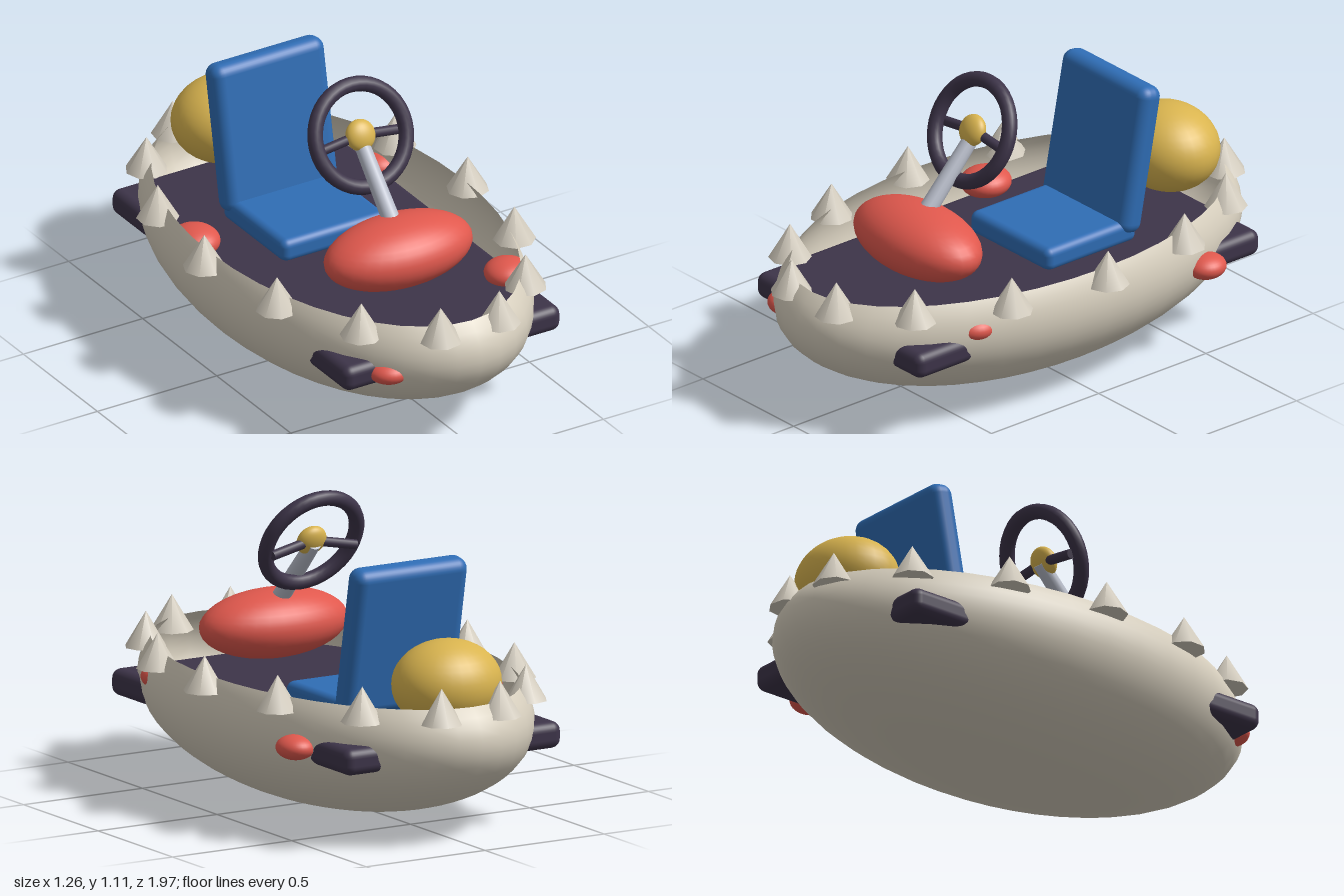
import * as THREE from 'three';
import { RoundedBoxGeometry } from 'three/addons/geometries/RoundedBoxGeometry.js';

const mat = (name, color, extra = {}) => {
  const m = new THREE.MeshStandardMaterial({ color, ...extra });
  m.name = name;
  return m;
};

export function createModel() {
  const root = new THREE.Group();
  root.name = 'bowlKart';
  const shell = mat('shell beige', 0xd6cebd, { side: THREE.DoubleSide });
  const bone = mat('spike beige', 0xd3ccbe);
  const dark = mat('dark purple', 0x3d3449);
  const blue = mat('seat blue', 0x2f6db5);
  const red = mat('red', 0xe0584d);
  const yellow = mat('yellow', 0xd9b44f);
  const metal = mat('light metal', 0xb8bdca);

  const add = (name, geometry, material, pos = [0, 0, 0], parent = root) => {
    const mesh = new THREE.Mesh(geometry, material);
    mesh.name = name;
    mesh.position.set(...pos);
    parent.add(mesh);
    return mesh;
  };
  const ellipsoid = (name, radii, pos, material) =>
    add(name, new THREE.SphereGeometry(1, 32, 20).scale(...radii), material, pos);
  // Cylinder running between two points
  const rod = (name, a, b, ra, rb, material) => {
    const from = new THREE.Vector3(...a), to = new THREE.Vector3(...b);
    const dir = to.clone().sub(from);
    const mesh = add(name, new THREE.CylinderGeometry(rb, ra, dir.length(), 16), material);
    mesh.position.copy(from).add(to).multiplyScalar(0.5);
    mesh.quaternion.setFromUnitVectors(new THREE.Vector3(0, 1, 0), dir.normalize());
    return mesh;
  };

  // Open bowl hull, cut off just above its widest line
  const cut = Math.acos(0.365);
  add('hull', new THREE.SphereGeometry(1, 40, 20, 0, Math.PI * 2, cut, Math.PI - cut)
    .scale(0.565, 0.372, 0.985), shell, [0, 0.38, 0]);

  // Floor slab, its corners poking through the hull
  add('floor', new RoundedBoxGeometry(0.91, 0.098, 1.6, 4, 0.035), dark, [0, 0.337, 0]);

  // Ring of spikes along the rim
  const spikes = new THREE.Group();
  spikes.name = 'rimSpikes';
  root.add(spikes);
  const spikeGeo = new THREE.ConeGeometry(0.078, 0.13, 8);
  for (let i = 0; i < 14; i++) {
    const a = (i / 14) * Math.PI * 2;
    const spike = add('spike', spikeGeo, bone,
      [0.552 * Math.cos(a), 0.53, 0.928 * Math.sin(a)], spikes);
    spike.rotation.y = -a;
  }

  // Seat
  add('seatCushion', new RoundedBoxGeometry(0.44, 0.09, 0.42, 4, 0.03), blue, [0, 0.42, -0.21]);
  const back = add('seatBack', new RoundedBoxGeometry(0.47, 0.56, 0.1, 4, 0.042), blue, [0, 0.685, -0.437]);
  back.rotation.x = -0.19;

  // Rear tank and front dash
  ellipsoid('rearTank', [0.205, 0.16, 0.18], [0, 0.57, -0.742], yellow);
  ellipsoid('dash', [0.295, 0.125, 0.17], [0, 0.57, 0.42], red);

  // Red spots on the hull
  ellipsoid('spot', [0.07, 0.045, 0.075], [0.49, 0.35, -0.51], red);
  ellipsoid('spot', [0.085, 0.05, 0.085], [0.405, 0.405, 0.505], red);
  ellipsoid('spot', [0.09, 0.054, 0.095], [-0.43, 0.42, -0.26], red);
  ellipsoid('spot', [0.08, 0.045, 0.08], [-0.27, 0.335, 0.79], red);

  // Steering
  rod('steeringColumn', [0, 0.62, 0.42], [0, 0.91, 0.15], 0.034, 0.028, metal);
  const wheel = add('steeringWheel', new THREE.TorusGeometry(0.185, 0.028, 14, 40), dark, [0, 0.918, 0.167]);
  wheel.rotation.x = -0.44;
  const hub = ellipsoid('wheelHub', [0.058, 0.058, 0.035], [0, 0.918, 0.165], yellow);
  hub.rotation.x = -0.44;
  for (const s of [-1, 1])
    rod('wheelSpoke', [0, 0.918, 0.162], [s * 0.175, 0.885, 0.148], 0.018, 0.018, dark);

  return root;
}
